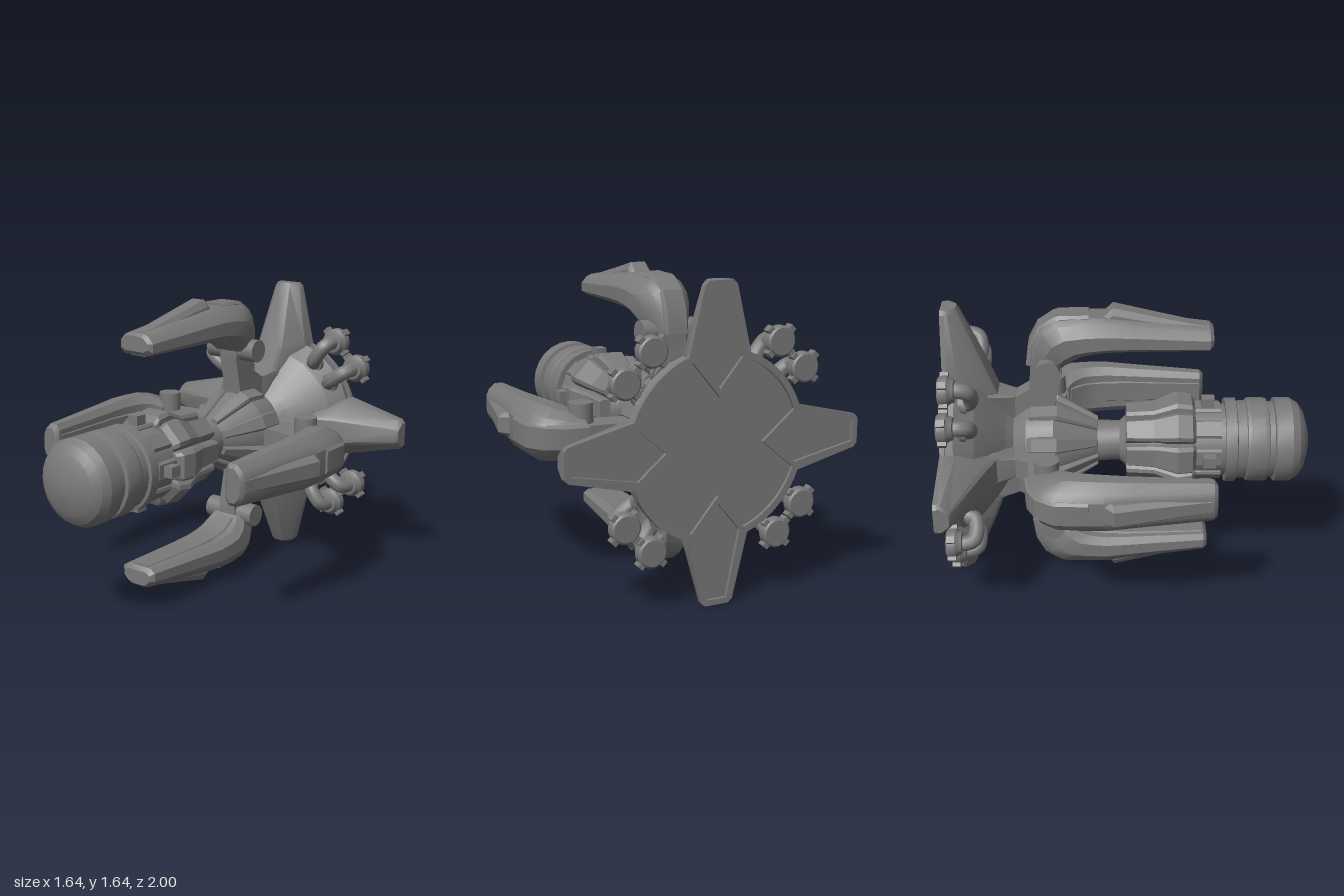
import * as THREE from 'three';
import { toCreasedNormals } from 'three/addons/utils/BufferGeometryUtils.js';

const material = new THREE.MeshStandardMaterial({ color: 0x797979 });

function add(parent, name, geometry, crease = 0.5) {
  const mesh = new THREE.Mesh(toCreasedNormals(geometry, crease), material);
  mesh.name = name;
  parent.add(mesh);
  return mesh;
}

// Turned part about the z axis; points are [radius, z] with z rising
function turned(points, sides = 32) {
  return new THREE.LatheGeometry(points.map(p => new THREE.Vector2(...p)), sides).rotateX(Math.PI / 2);
}

// Skin over sections [innerZ, innerR, outerZ, outerR, halfWidth];
// profile is [fraction from inner to outer, width factor], mirrored in x
const BEVELLED = [[0, 0.72], [0.18, 1], [0.58, 1], [0.88, 0.72], [1, 0.45]];
const BLOCK = [[0, 1], [0.85, 1], [1, 0.8]];
function loft(sections, profile) {
  const rings = sections.map(([zi, ri, zo, ro, w]) => {
    const side = profile.map(([t, f]) => [w * f, ri + (ro - ri) * t, zi + (zo - zi) * t]);
    return [...side, ...side.map(([x, y, z]) => [-x, y, z]).reverse()];
  });
  const n = rings[0].length, last = rings.length - 1, tris = [];
  for (let i = 0; i < last; i++) {
    for (let j = 0; j < n; j++) {
      const k = (j + 1) % n, a = rings[i], b = rings[i + 1];
      tris.push([a[j], a[k], b[k]], [a[j], b[k], b[j]]);
    }
  }
  for (let j = 1; j < n - 1; j++) {
    tris.push([rings[0][0], rings[0][j + 1], rings[0][j]]);
    tris.push([rings[last][0], rings[last][j], rings[last][j + 1]]);
  }
  // Turn the faces outward if the enclosed volume is negative
  const vec = p => new THREE.Vector3(...p);
  const volume = tris.reduce((s, [a, b, c]) => s + vec(a).dot(vec(b).cross(vec(c))), 0);
  if (volume < 0) tris.forEach(t => t.reverse());
  const geometry = new THREE.BufferGeometry();
  geometry.setAttribute('position', new THREE.Float32BufferAttribute(tris.flat(2), 3));
  geometry.computeVertexNormals();
  return geometry;
}

// Calls build with a group turned about the z axis; +y is outward in it
function around(parent, name, angles, build) {
  for (const degrees of angles) {
    const group = new THREE.Group();
    group.name = name;
    group.rotation.z = THREE.MathUtils.degToRad(degrees);
    parent.add(group);
    build(group, degrees);
  }
}

const polar = (r, a) => new THREE.Vector2(r * Math.cos(a), r * Math.sin(a));
const QUARTERS = [0, 90, 180, 270];
const EIGHTHS = [0, 45, 90, 135, 180, 225, 270, 315];

// Raised border on the back of the base, with a centre panel and four fin panels
function rimGeometry() {
  const outline = [], centre = [], holes = [];
  const origin = new THREE.Vector2();
  for (let k = 0; k < 4; k++) {
    const a = k * Math.PI / 2;
    const at = (x, y) => new THREE.Vector2(x, y).rotateAround(origin, a);
    outline.push(at(0.46, -0.17), at(0.8, -0.088), at(0.82, -0.065), at(0.82, 0.065), at(0.8, 0.088), at(0.46, 0.17));
    centre.push(at(0.25, 0), at(0.43, 0.15));
    for (let i = 1; i < 10; i++) {
      const t = a + 0.355 + (Math.PI / 2 - 0.71) * i / 10;
      outline.push(polar(0.49, t));
      centre.push(polar(0.455, t));
    }
    centre.push(at(0.43, -0.15).rotateAround(origin, Math.PI / 2));
    holes.push([at(0.29, 0), at(0.44, -0.125), at(0.79, -0.055), at(0.79, 0.055), at(0.44, 0.125)]);
  }
  const shape = new THREE.Shape(outline);
  shape.holes = [centre, ...holes].map(points => new THREE.Path(points));
  return new THREE.ExtrudeGeometry(shape, { depth: 0.025, bevelEnabled: false }).translate(0, 0, -1);
}

function buildBase(parent) {
  add(parent, 'baseDish', turned([[0, -0.982], [0.475, -0.982], [0.49, -0.93], [0.42, -0.83], [0.31, -0.74],
    [0.22, -0.68], [0.18, -0.64], [0.18, -0.55]], 24), 0.25);
  add(parent, 'baseRim', rimGeometry());
  around(parent, 'baseFin', QUARTERS, g => {
    add(g, 'fin', loft([
      [-0.982, 0.15, -0.6, 0.15, 0.1], [-0.982, 0.3, -0.62, 0.305, 0.13], [-0.982, 0.36, -0.72, 0.33, 0.16],
      [-0.982, 0.46, -0.765, 0.45, 0.17], [-0.982, 0.8, -0.91, 0.8, 0.088], [-0.982, 0.82, -0.92, 0.82, 0.07],
    ], [[0, 1], [0.3, 0.97], [0.92, 0.52], [1, 0.4]]));
  });
}

// Bent hose with a lugged end cap; the lugs stay on the diagonals of the whole model
function buildHose(g, degrees) {
  const path = new THREE.CatmullRomCurve3([[0.61, -0.95], [0.61, -0.885], [0.592, -0.85], [0.55, -0.838],
    [0.49, -0.842], [0.462, -0.858], [0.452, -0.9]].map(([r, z]) => new THREE.Vector3(0, r, z)));
  add(g, 'hose', new THREE.TubeGeometry(path, 24, 0.042, 14), 0.8);
  const collar = add(g, 'hoseCollar', new THREE.CylinderGeometry(0.053, 0.053, 0.03, 16).rotateX(Math.PI / 2));
  collar.position.set(0, 0.453, -0.88);
  const cap = new THREE.Group();
  cap.name = 'hoseCap';
  cap.position.y = 0.61;
  cap.rotation.z = THREE.MathUtils.degToRad(45 - degrees);
  g.add(cap);
  add(cap, 'capBody', turned([[0, -0.995], [0.068, -0.995], [0.079, -0.985], [0.079, -0.945],
    [0.066, -0.93], [0.06, -0.912], [0.042, -0.908]], 20));
  for (let i = 0; i < 4; i++) {
    const lug = add(cap, 'capLug', new THREE.BoxGeometry(0.035, 0.035, 0.045));
    const a = i * Math.PI / 2;
    lug.position.set(0.08 * Math.cos(a), 0.08 * Math.sin(a), -0.965);
    lug.rotation.z = a;
  }
}

function buildArm(g) {
  // Link from the hub to the hinge
  const link = new THREE.Shape([[0.37, 0.5], [0.37, 0.44], [0.41, 0.26], [0.41, 0.15], [0.63, 0.15], [0.63, 0.3],
    [0.55, 0.35], [0.54, 0.46], [0.54, 0.52]].map(p => new THREE.Vector2(...p)));
  add(g, 'link', new THREE.ExtrudeGeometry(link, { depth: 0.114, bevelEnabled: false })
    .translate(0, 0, -0.057).rotateY(Math.PI / 2));
  const pin = add(g, 'hingePin', new THREE.CylinderGeometry(0.064, 0.064, 0.325, 24).rotateZ(Math.PI / 2));
  pin.position.set(0, 0.495, -0.44);
  // Bent claw, from its tip to the hinge
  add(g, 'claw', loft([
    [0.445, 0.61, 0.445, 0.69, 0.09], [0.425, 0.588, 0.425, 0.705, 0.112], [0.0, 0.592, 0.0, 0.755, 0.138],
    [-0.13, 0.59, -0.14, 0.772, 0.148], [-0.21, 0.58, -0.27, 0.772, 0.15], [-0.27, 0.565, -0.4, 0.762, 0.15],
    [-0.32, 0.533, -0.48, 0.715, 0.14], [-0.35, 0.507, -0.53, 0.62, 0.12], [-0.36, 0.493, -0.552, 0.5, 0.1],
  ], BEVELLED), 0.5);
  add(g, 'clawInnerStrip', loft([
    [0.415, 0.582, 0.415, 0.63, 0.055], [0.0, 0.585, 0.0, 0.63, 0.065], [-0.2, 0.575, -0.22, 0.62, 0.065],
    [-0.265, 0.558, -0.3, 0.6, 0.065], [-0.345, 0.502, -0.39, 0.54, 0.065],
  ], [[0, 0.9], [0.2, 1], [1, 1]]));
  add(g, 'clawRidge', loft([
    [-0.12, 0.7, -0.14, 0.77, 0.075], [-0.1, 0.7, -0.09, 0.82, 0.07], [0.1, 0.68, 0.1, 0.775, 0.065],
    [0.34, 0.65, 0.34, 0.72, 0.055], [0.42, 0.65, 0.42, 0.708, 0.055],
  ], [[0, 1], [0.7, 0.9], [1, 0.58]]), 0.3);
  add(g, 'clawBand', loft([
    [-0.22, 0.7, -0.22, 0.785, 0.072], [-0.3, 0.68, -0.38, 0.782, 0.072], [-0.35, 0.65, -0.41, 0.772, 0.072],
    [-0.4, 0.6, -0.495, 0.715, 0.07], [-0.42, 0.56, -0.545, 0.62, 0.068], [-0.42, 0.5, -0.562, 0.495, 0.066],
  ], BLOCK), 0.4);
}

function buildCore(parent) {
  add(parent, 'hub', turned([[0, -0.64], [0.18, -0.64], [0.235, -0.57], [0.24, -0.42], [0.19, -0.32],
    [0.115, -0.18], [0.11, -0.06], [0.155, -0.01], [0.19, 0.16], [0.2, 0.27], [0.2, 0.54], [0, 0.54]], 24), 0.35);
  add(parent, 'barrel', turned([[0, 0.525], [0.235, 0.525], [0.235, 0.585], [0.218, 0.59], [0.218, 0.64],
    [0.23, 0.645], [0.235, 0.66], [0.235, 0.74], [0.23, 0.76], [0.212, 0.765], [0.212, 0.795], [0.235, 0.8],
    [0.235, 0.89], [0.21, 0.932], [0.165, 0.963], [0.1, 0.984], [0.05, 0.995], [0, 1]], 24), 0.3);
  around(parent, 'housingLobe', EIGHTHS, g => {
    add(g, 'lobe', loft([[-0.03, 0.08, -0.02, 0.2, 0.058], [0.13, 0.1, 0.13, 0.21, 0.065],
      [0.26, 0.12, 0.26, 0.263, 0.082], [0.34, 0.12, 0.34, 0.25, 0.08], [0.36, 0.12, 0.36, 0.215, 0.07]], BLOCK), 0.3);
    add(g, 'housingPad', loft([[0.36, 0.12, 0.36, 0.215, 0.05], [0.5, 0.12, 0.5, 0.215, 0.05]], BLOCK));
  });
  around(parent, 'housingLug', QUARTERS, g => {
    add(g, 'lug', new THREE.BoxGeometry(0.06, 0.12, 0.07)).position.set(0, 0.208, 0.43);
  });
  around(parent, 'hubRib', EIGHTHS.map(a => a + 22.5), g => {
    add(g, 'rib', loft([[-0.18, 0.08, -0.18, 0.135, 0.022], [-0.4, 0.12, -0.4, 0.258, 0.045],
      [-0.54, 0.12, -0.54, 0.252, 0.045], [-0.61, 0.12, -0.61, 0.2, 0.04]], BLOCK), 0.3);
  });
}

export function createModel() {
  const model = new THREE.Group();
  model.name = 'clawedDevice';
  model.position.y = 0.825;
  buildBase(model);
  buildCore(model);
  around(model, 'arm', QUARTERS, buildArm);
  around(model, 'hoseAssembly', QUARTERS.flatMap(a => [a + 35.5, a + 54.5]), buildHose);
  const root = new THREE.Group();
  root.add(model);
  return root;
}
